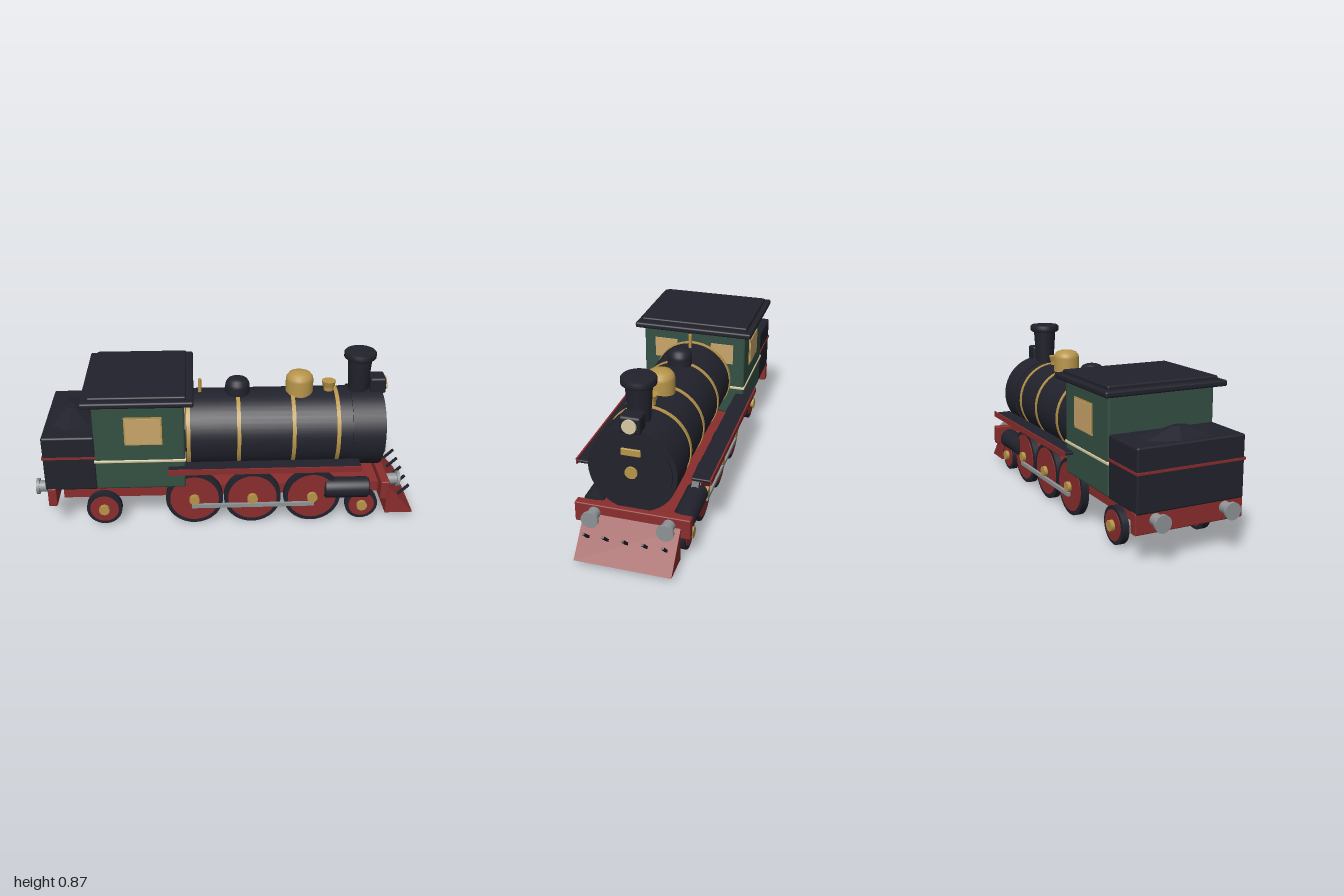
import * as THREE from 'three';
import { RoundedBoxGeometry } from 'three/addons/geometries/RoundedBoxGeometry.js';

const paint = (name, color) => {
  const m = new THREE.MeshStandardMaterial({ color });
  m.name = name;
  return m;
};

export function createModel() {
  const model = new THREE.Group();
  model.name = 'steamLocomotive';
  const iron = paint('dark iron', 0x22222d);
  const red = paint('deep red', 0x8b2d2d);
  const green = paint('cab green', 0x345043);
  const gold = paint('brass', 0xb8964a);
  const cream = paint('cream', 0xd8caa2);
  const glass = paint('window amber', 0xcaa66c);
  const steel = paint('steel', 0x8e9396);

  const add = (name, geo, mat, x = 0, y = 0, z = 0, parent = model) => {
    const mesh = new THREE.Mesh(geo, mat);
    mesh.name = name;
    mesh.position.set(x, y, z);
    parent.add(mesh);
    return mesh;
  };
  // Box given by its limits on each axis, with an optional softened edge
  const box = (name, mat, [x0, x1], [y0, y1], [z0, z1], bevel = 0) => {
    const s = [x1 - x0, y1 - y0, z1 - z0];
    const geo = bevel ? new RoundedBoxGeometry(...s, 2, bevel) : new THREE.BoxGeometry(...s);
    return add(name, geo, mat, (x0 + x1) / 2, (y0 + y1) / 2, (z0 + z1) / 2);
  };
  // Cylinder lying along x
  const rodX = (name, mat, r, x0, x1, y, z = 0, sides = 48) =>
    add(name, new THREE.CylinderGeometry(r, r, x1 - x0, sides).rotateZ(-Math.PI / 2), mat, (x0 + x1) / 2, y, z);
  // Upright turned part from [radius, height] points
  const turned = (name, mat, pts, x, y, sides = 32) =>
    add(name, new THREE.LatheGeometry(pts.map(p => new THREE.Vector2(...p)), sides), mat, x, y, 0);

  // Chassis and buffer beams
  box('frame', red, [-0.86, 0.82], [0.15, 0.21], [-0.205, 0.205]);
  box('rearBeam', red, [-0.93, -0.885], [0.147, 0.25], [-0.283, 0.283], 0.006);
  box('frontBeam', red, [0.8, 0.845], [0.145, 0.25], [-0.283, 0.283], 0.006);

  // Buffers
  for (const z of [-0.182, 0.182]) {
    rodX('frontBufferShank', steel, 0.03, 0.84, 0.91, 0.21, z, 24);
    rodX('frontBufferHead', steel, 0.042, 0.9, 0.915, 0.21, z, 24);
    rodX('rearBufferShank', steel, 0.03, -0.99, -0.925, 0.21, z, 24);
    rodX('rearBufferHead', steel, 0.042, -1, -0.985, 0.21, z, 24);
  }

  // Wedge-shaped pilot with slanted bars
  const wedge = new THREE.Shape([[0.845, 0.03], [0.995, 0.03], [0.845, 0.2]].map(p => new THREE.Vector2(...p)));
  add('pilot', new THREE.ExtrudeGeometry(wedge, { depth: 0.474, bevelEnabled: false }), red, 0, 0, -0.237);
  for (let i = -2; i <= 2; i++) {
    const bar = add('pilotBar', new THREE.BoxGeometry(0.08, 0.012, 0.012), iron, 0.943, 0.144, i * 0.095);
    bar.rotation.z = Math.PI / 4;
  }

  // Wheels: [x, radius]
  const wheels = [[-0.65, 0.093], [-0.175, 0.15], [0.13, 0.15], [0.445, 0.15], [0.712, 0.086]];
  for (const side of [-1, 1]) {
    for (const [x, r] of wheels) {
      const g = new THREE.Group();
      g.name = r > 0.1 ? 'drivingWheel' : 'smallWheel';
      g.position.set(x, r > 0.1 ? 0.15 : r + 0.006, side * 0.224);
      model.add(g);
      const disc = (name, mat, rad, depth, sides, z = 0) =>
        add(name, new THREE.CylinderGeometry(rad, rad, depth, sides).rotateX(Math.PI / 2), mat, 0, 0, z, g);
      disc('tyre', iron, r, 0.036, 40);
      disc('wheelDisc', red, r > 0.1 ? 0.128 : r - 0.018, 0.044, 40);
      disc('hub', gold, 0.028, 0.04, 10, side * 0.021);
    }
    const [zi, zo] = side > 0 ? [0.248, 0.264] : [-0.264, -0.248];
    box('couplingRod', steel, [-0.19, 0.455], [0.102, 0.122], [zi, zo]);

    // Steam cylinder
    const cyl = [[0, -0.118], [0.046, -0.118], [0.055, -0.109], [0.055, 0.109], [0.046, 0.118], [0, 0.118]];
    const c = turned('steamCylinder', iron, cyl, 0.628, 0.19);
    c.rotation.z = -Math.PI / 2;
    c.position.z = side * 0.225;

    // Running board with a red edge
    const span = (a, b) => (side > 0 ? [a, b] : [-b, -a]);
    box('runningBoard', iron, [-0.305, 0.68], [0.357, 0.373], span(0.238, 0.332), 0.006);
    box('runningBoardEdge', red, [-0.305, 0.68], [0.35, 0.38], span(0.329, 0.337));

    // Cab windows
    box('sideWindowFrame', gold, [-0.52, -0.33], [0.503, 0.657], span(0.281, 0.288));
    box('sideWindow', glass, [-0.513, -0.337], [0.51, 0.65], span(0.285, 0.292));
    box('frontWindow', glass, [-0.222, -0.213], [0.55, 0.66], span(0.095, 0.22));
  }

  // Boiler, smokebox and door
  rodX('boiler', iron, 0.207, -0.23, 0.66, 0.45);
  rodX('smokebox', iron, 0.215, 0.65, 0.815, 0.45);
  rodX('smokeboxDoor', iron, 0.192, 0.81, 0.825, 0.45);
  for (const x of [-0.2, 0.06, 0.345, 0.575]) rodX('boilerBand', gold, 0.212, x - 0.01, x + 0.01, 0.45);
  rodX('doorKnob', gold, 0.03, 0.82, 0.836, 0.45, 0, 24);
  box('doorPlate', gold, [0.82, 0.833], [0.537, 0.573], [-0.047, 0.047], 0.004);

  // Chimney and fittings along the boiler top
  turned('chimney', iron, [[0.05, 0.63], [0.064, 0.84]], 0.695, 0);
  turned('chimneyCap', iron, [[0, 0.835], [0.076, 0.835], [0.083, 0.842], [0.083, 0.866], [0.076, 0.874], [0, 0.874]], 0.695, 0);
  const dome = (name, mat, x, r, top) =>
    turned(name, mat, [[r, 0.62], [r, top - 0.045], [r * 0.95, top - 0.028], [r * 0.78, top - 0.012], [r * 0.45, top - 0.003], [0, top]], x, 0);
  dome('steamDome', gold, 0.385, 0.072, 0.765);
  dome('sandDome', iron, 0.06, 0.064, 0.737);
  add('safetyValve', new THREE.CylinderGeometry(0.028, 0.026, 0.06, 12), gold, 0.54, 0.67, 0);
  add('safetyValveCap', new THREE.CylinderGeometry(0.038, 0.03, 0.03, 12), gold, 0.54, 0.693, 0);
  add('whistle', new THREE.CylinderGeometry(0.009, 0.009, 0.1, 10), gold, -0.137, 0.68, 0);

  // Headlamp
  box('lampBox', iron, [0.75, 0.835], [0.65, 0.735], [-0.05, 0.05], 0.012);
  rodX('lampLens', cream, 0.034, 0.83, 0.845, 0.692, 0, 28);

  // Cab with stripe and stepped roof
  box('cab', green, [-0.675, -0.218], [0.245, 0.722], [-0.283, 0.283], 0.012);
  box('cabStripe', cream, [-0.68, -0.213], [0.4, 0.415], [-0.288, 0.288], 0.004);
  box('roof', iron, [-0.728, -0.17], [0.722, 0.752], [-0.322, 0.322], 0.01);
  box('roofTop', iron, [-0.69, -0.207], [0.745, 0.77], [-0.293, 0.293], 0.008);

  // Coal bunker with red line and coal heap
  box('bunker', iron, [-0.938, -0.672], [0.242, 0.545], [-0.28, 0.28], 0.01);
  box('bunkerStripe', red, [-0.942, -0.672], [0.424, 0.436], [-0.284, 0.284]);
  const heap = new THREE.CylinderGeometry(0.02, 0.12, 0.05, 7).toNonIndexed();
  heap.scale(1, 1, 1.9);
  heap.computeVertexNormals();
  add('coalHeap', heap, iron, -0.81, 0.565, 0);

  return model;
}
